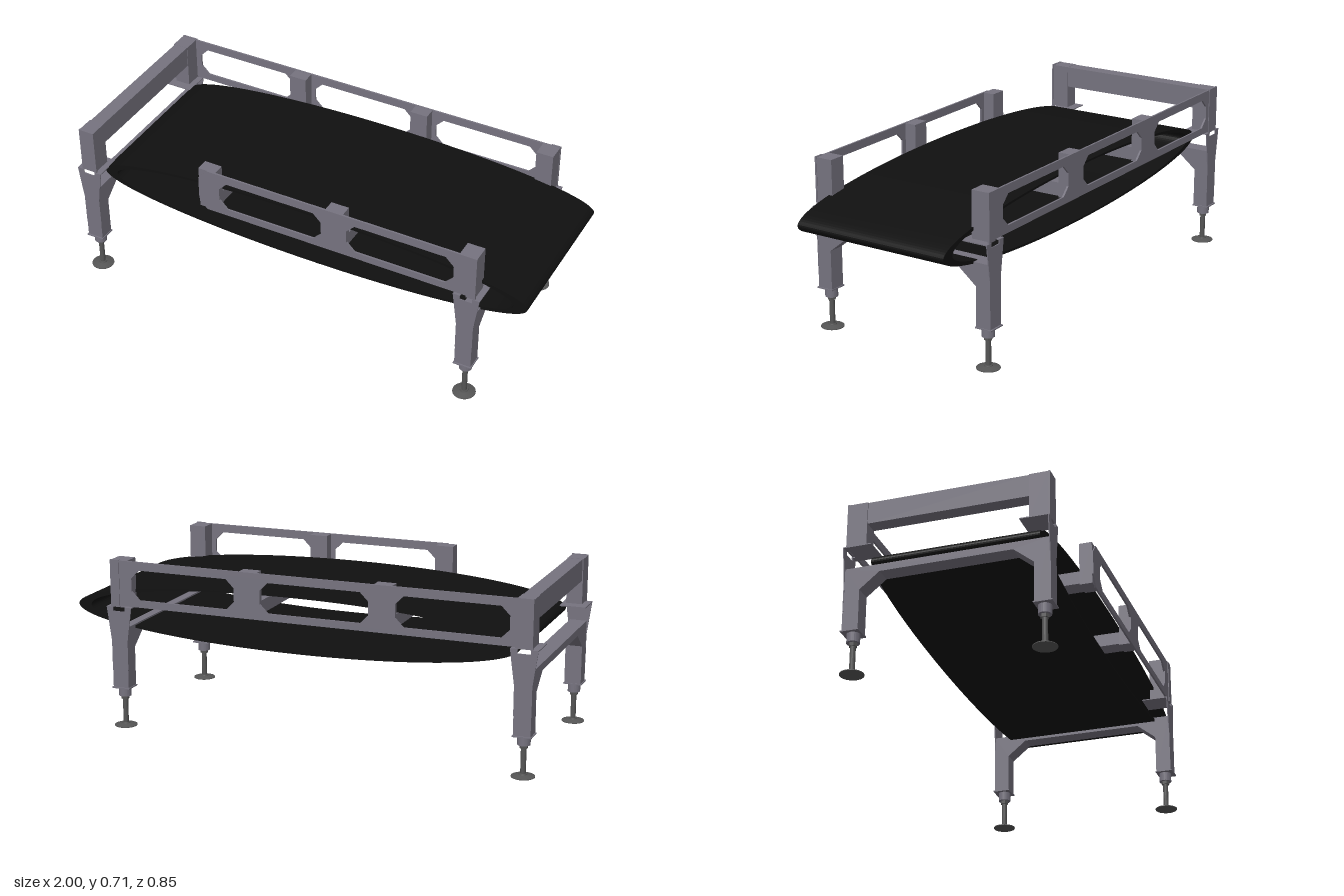
import * as THREE from 'three';

const material = (color) => new THREE.MeshStandardMaterial({ color, flatShading: true, side: THREE.DoubleSide });

export function createModel() {
  const model = new THREE.Group();
  model.name = 'conveyorTable';
  const frame = material(0x76737f);
  const steel = material(0x555555);
  const rubber = new THREE.MeshStandardMaterial({ color: 0x101010, side: THREE.DoubleSide });

  const add = (parent, name, geometry, mat = frame) => {
    const mesh = new THREE.Mesh(geometry, mat);
    mesh.name = name;
    parent.add(mesh);
    return mesh;
  };
  // Box given by its limits on each axis
  const box = (parent, name, [x0, x1], [y0, y1], [z0, z1]) =>
    add(parent, name, new THREE.BoxGeometry(x1 - x0, y1 - y0, z1 - z0))
      .position.set((x0 + x1) / 2, (y0 + y1) / 2, (z0 + z1) / 2);
  const shapeOf = (points) => new THREE.Shape(points.map(([x, y]) => new THREE.Vector2(x, y)));
  // Extrusion centred on its depth
  const slab = (shape, depth) =>
    new THREE.ExtrudeGeometry(shape, { depth, bevelEnabled: false, curveSegments: 64 }).translate(0, 0, -depth / 2);

  // Belt: hollow elliptical loop, thicker at its two tips
  const ring = new THREE.Shape().absellipse(0.0475, 0.494, 0.9525, 0.119, 0, Math.PI * 2);
  ring.holes.push(new THREE.Path().absellipse(0.0475, 0.494, 0.895, 0.111, 0, Math.PI * 2));
  add(model, 'belt', slab(ring, 0.68), rubber).position.z = 0.005;

  // Portal legs at both ends
  const half = [[0.41, 0.43], [0.41, 0.17], [0.345, 0.17], [0.345, 0.335], [0.265, 0.4]];
  const portal = shapeOf([...half, ...half.map(([z, y]) => [-z, y]).reverse()]);
  const bracket = shapeOf([
    [-0.036, 0.25], [0.036, 0.25], [0.036, 0.37], [0.056, 0.515], [0.026, 0.515],
    [0.026, 0.497], [-0.026, 0.497], [-0.026, 0.515], [-0.056, 0.515], [-0.036, 0.37],
  ]);
  for (const x of [-0.944, 0.774]) {
    const support = new THREE.Group();
    support.name = 'legFrame';
    support.position.x = x;
    model.add(support);
    add(support, 'legPortal', slab(portal, 0.07).rotateY(Math.PI / 2));

    for (const s of [-1, 1]) {
      // Flared bracket with folded top flange
      add(support, 'flaredBracket', slab(bracket, 0.004)).position.z = s * 0.408;
      for (const t of [-1, 1]) {
        box(support, 'bracketFlange', t < 0 ? [-0.056, -0.026] : [0.026, 0.056], [0.511, 0.515],
          s < 0 ? [-0.41, -0.295] : [0.295, 0.41]);
      }
      box(support, 'bracketFlange', [-0.027, 0.027], [0.511, 0.515], s < 0 ? [-0.395, -0.295] : [0.295, 0.395]);
      box(support, 'legEndPlate', [-0.039, 0.039], [0.167, 0.172], [s * 0.379 - 0.037, s * 0.379 + 0.037]);

      // Adjustable foot
      const foot = new THREE.Group();
      foot.name = 'levelingFoot';
      foot.position.z = s * 0.376;
      support.add(foot);
      const turned = (name, r0, r1, y0, y1, mat, sides = 24) =>
        add(foot, name, new THREE.CylinderGeometry(r1, r0, y1 - y0, sides), mat).position.y = (y0 + y1) / 2;
      turned('footSocket', 0.026, 0.026, 0.13, 0.168, frame);
      turned('footNut', 0.017, 0.017, 0.116, 0.13, steel, 6);
      turned('footRod', 0.011, 0.011, 0.008, 0.13, steel);
      turned('footCollar', 0.018, 0.016, 0.008, 0.014, steel);
      turned('footRim', 0.047, 0.047, 0, 0.003, steel, 32);
      turned('footDisc', 0.047, 0.02, 0.003, 0.01, steel, 32);
    }
  }

  // Side rails with chamfered windows
  const windowPath = (x0, x1) => {
    const c = 0.035, y0 = 0.55, y1 = 0.675;
    return new THREE.Path([
      [x0 + c, y0], [x1 - c, y0], [x1, y0 + c], [x1, y1 - c],
      [x1 - c, y1], [x0 + c, y1], [x0, y1 - c], [x0, y0 + c],
    ].map(([x, y]) => new THREE.Vector2(x, y)));
  };
  const windows = [[-0.885, -0.425], [-0.315, 0.145], [0.257, 0.715]];
  const backRail = shapeOf([[-0.945, 0.52], [0.775, 0.52], [0.775, 0.71], [-0.945, 0.71]]);
  backRail.holes = windows.map((w) => windowPath(...w));
  add(model, 'backRail', slab(backRail, 0.008)).position.z = -0.401;
  const frontRail = shapeOf([
    [-0.375, 0.52], [0.775, 0.52], [0.775, 0.71], [-0.37, 0.71], [-0.41, 0.665], [-0.41, 0.565],
  ]);
  frontRail.holes = windows.slice(1).map((w) => windowPath(...w));
  add(model, 'frontRail', slab(frontRail, 0.008)).position.z = 0.401;

  // Corner posts and rail posts
  for (const s of [-1, 1]) {
    const span = (a, b) => (s < 0 ? [-b, -a] : [a, b]);
    box(model, 'endPost', [-0.977, -0.91], [0.52, 0.71], span(0.325, 0.402));
    box(model, 'endPostPlate', [-0.977, -0.908], [0.515, 0.712], span(0.4, 0.408));
    box(model, 'sidePost', [0.735, 0.808], [0.52, 0.71], span(0.328, 0.402));
    box(model, 'sidePostPlate', [0.77, 0.81], [0.515, 0.712], span(0.4, 0.408));
    for (const x of [-0.372, 0.2]) box(model, 'railPost', [x - 0.038, x + 0.038], [0.525, 0.709], span(0.347, 0.4));
  }

  // Cross members running through the belt loop
  for (const x of [-0.372, 0.2]) box(model, 'crossMember', [x - 0.037, x + 0.037], [0.53, 0.585], [-0.36, 0.36]);

  // High rail across the end
  box(model, 'endRail', [-0.973, -0.912], [0.618, 0.709], [-0.33, 0.33]);
  return model;
}
